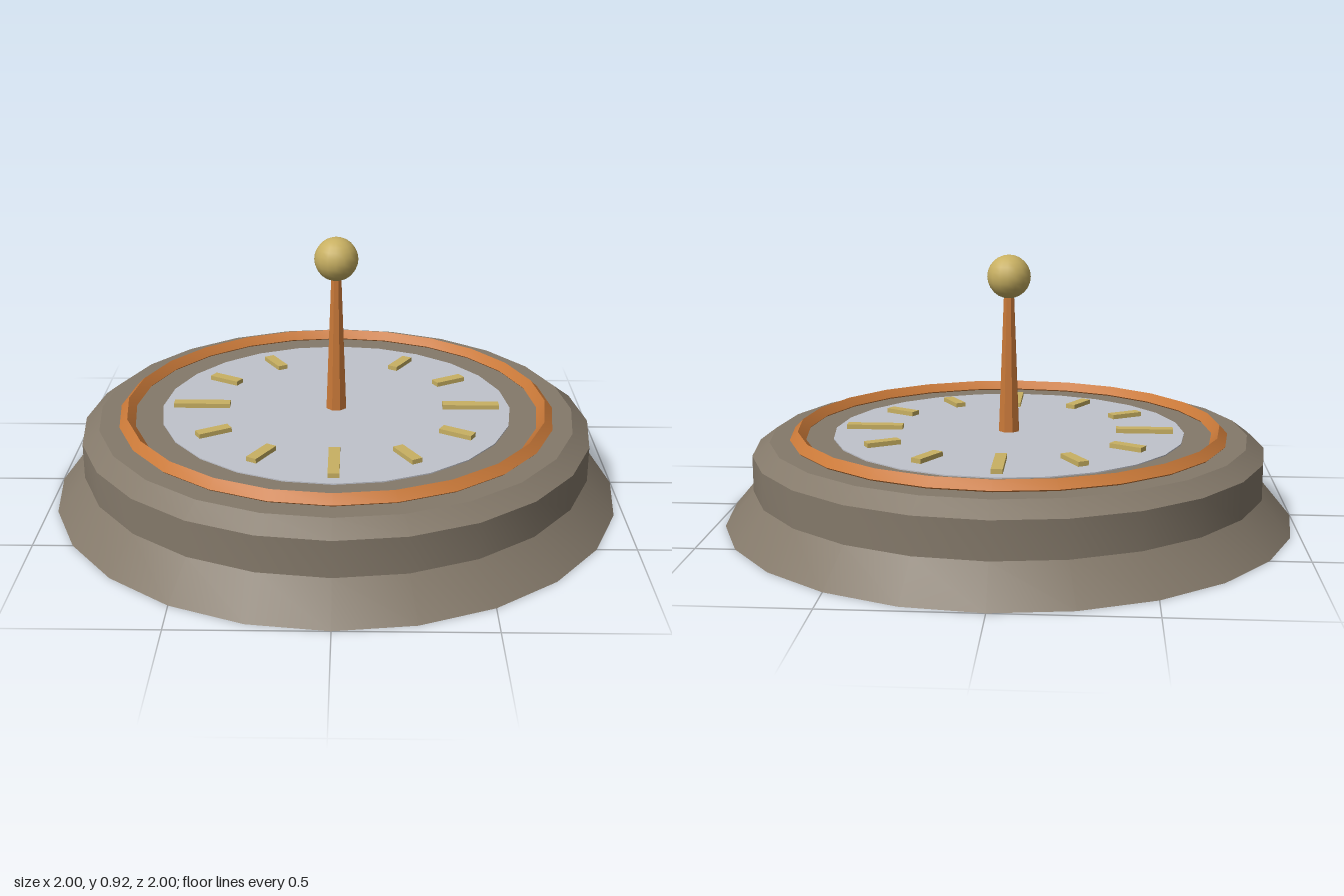
import * as THREE from 'three';
import { toCreasedNormals } from 'three/addons/utils/BufferGeometryUtils.js';

const SIDES = 24;
const TOP = 0.29;

function material(name, color) {
  const m = new THREE.MeshStandardMaterial({ color });
  m.name = name;
  return m;
}

// Revolved profile: smooth around the axis, sharp along the profile
function turned(points) {
  const profile = points.map(([r, y]) => new THREE.Vector2(r, y));
  return toCreasedNormals(new THREE.LatheGeometry(profile, SIDES), 0.5);
}

export function createModel() {
  const stone = material('stone', 0x84796a);
  const copper = material('copper', 0xc87838);
  const slate = material('paleSlate', 0xc0c3cc);
  const brass = material('brass', 0xc8b062);

  const model = new THREE.Group();
  model.name = 'sundial';
  function add(name, geometry, mat, parent = model) {
    const mesh = new THREE.Mesh(geometry, mat);
    mesh.name = name;
    parent.add(mesh);
    return mesh;
  }

  // Stepped round plinth
  add('base', turned([[0, 0], [1, 0], [0.9, 0.12], [0.9, 0.245], [0.84, TOP], [0, TOP]]), stone);

  // Ridged rim ring, diamond in section
  const R = 0.743, t = 0.028;
  add('rimRing', turned([
    [R, TOP + 0.005 - t], [R + t, TOP + 0.005], [R, TOP + 0.005 + t],
    [R - t, TOP + 0.005], [R, TOP + 0.005 - t],
  ]), copper);

  // Thin dial plate
  const dial = add('dialPlate', new THREE.CylinderGeometry(0.62, 0.62, 0.006, SIDES), slate);
  dial.position.y = TOP + 0.001;

  // Twelve hour marks, longer at the quarters
  const marks = new THREE.Group();
  marks.name = 'hourMarks';
  model.add(marks);
  for (let i = 0; i < 12; i++) {
    const angle = (i * Math.PI) / 6;
    const length = i % 3 === 0 ? 0.2 : 0.12;
    const mark = add('hourMark', new THREE.BoxGeometry(length, 0.024, 0.038), brass, marks);
    mark.position.set(Math.cos(angle) * 0.48, TOP + 0.008, -Math.sin(angle) * 0.48);
    mark.rotation.y = angle;
  }

  // Tapered eight-sided pointer with a ball on top
  const rod = new THREE.CylinderGeometry(0.018, 0.038, 0.51, 8);
  rod.rotateY(Math.PI / 8);
  const pointer = add('pointer', toCreasedNormals(rod, 0.5), copper);
  pointer.position.y = TOP + 0.255;
  const ball = add('pointerBall', new THREE.SphereGeometry(0.076, 16, 12), brass);
  ball.position.y = 0.844;

  return model;
}
